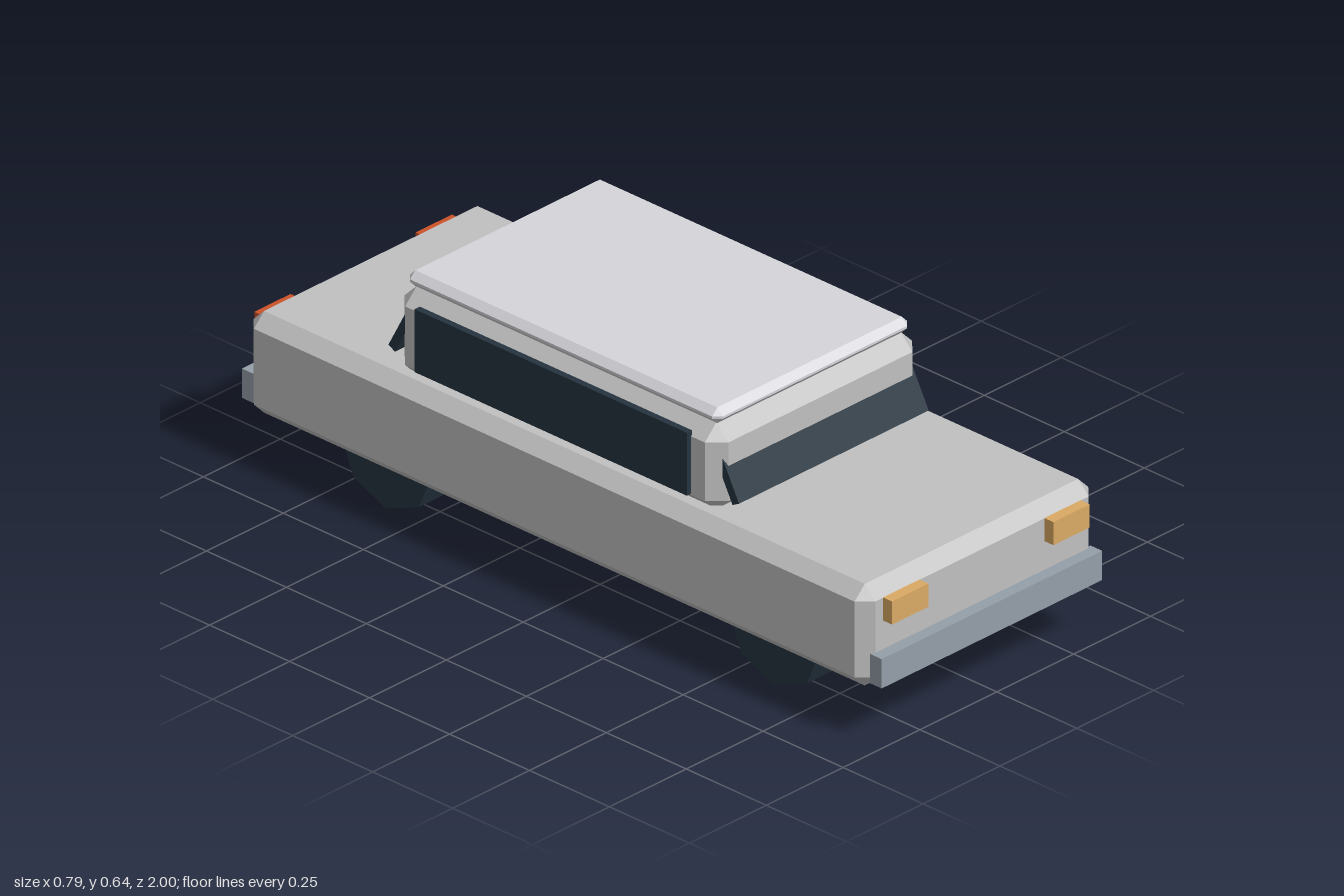
import * as THREE from 'three';
import { ConvexGeometry } from 'three/addons/geometries/ConvexGeometry.js';

const material = (name, color) => {
  const m = new THREE.MeshStandardMaterial({ color });
  m.name = name;
  return m;
};

// Box with every edge cut at 45 degrees
function chamferBox(w, h, d, c) {
  const pts = [];
  for (const sx of [-1, 1]) for (const sy of [-1, 1]) for (const sz of [-1, 1]) {
    const [x, y, z] = [w / 2, h / 2, d / 2];
    pts.push(new THREE.Vector3(sx * x, sy * (y - c), sz * (z - c)));
    pts.push(new THREE.Vector3(sx * (x - c), sy * y, sz * (z - c)));
    pts.push(new THREE.Vector3(sx * (x - c), sy * (y - c), sz * z));
  }
  return new ConvexGeometry(pts);
}

export function createModel() {
  const group = new THREE.Group();
  group.name = 'car';

  const silver = material('silver paint', 0xc0c0c0);
  const pale = material('pale roof paint', 0xd5d5da);
  const dark = material('dark glass and rubber', 0x25343f);
  const steel = material('bumper steel', 0x949fa8);
  const amber = material('amber lamp', 0xdaaa64);
  const red = material('red lamp', 0xcc5228);

  const add = (name, geometry, mat, x, y, z) => {
    const mesh = new THREE.Mesh(geometry, mat);
    mesh.name = name;
    mesh.position.set(x, y, z);
    group.add(mesh);
    return mesh;
  };

  const cx = -0.016;     // centre line of the bodywork
  const cabinZ = -0.042; // the cabin sits slightly to the rear

  // Bodywork
  add('body', chamferBox(0.76, 0.26, 1.944, 0.033), silver, cx, 0.263, -0.003);
  add('cabin', chamferBox(0.674, 0.226, 1.013, 0.038), silver, cx, 0.486, cabinZ);
  add('roof', chamferBox(0.634, 0.04, 0.978, 0.017), pale, cx, 0.618, cabinZ);

  // Side windows
  for (const s of [-1, 1]) {
    add(s > 0 ? 'leftWindow' : 'rightWindow', new THREE.BoxGeometry(0.017, 0.161, 0.851),
      dark, cx + s * 0.3425, 0.495, cabinZ);
  }

  // Sloping front and rear screens, upper part sunk into the cabin
  const tilt = 0.49, height = 0.16, thick = 0.023;
  for (const s of [-1, 1]) {
    const y = 0.423 + (height / 2) * Math.cos(tilt) - (thick / 2) * Math.sin(tilt);
    const z = 0.548 - (height / 2) * Math.sin(tilt) - (thick / 2) * Math.cos(tilt);
    const screen = add(s > 0 ? 'windscreen' : 'rearScreen',
      new THREE.BoxGeometry(0.617, height, thick), dark, cx, y, cabinZ + s * z);
    screen.rotation.x = -s * tilt;
  }

  // Bumpers and lamps at both ends
  for (const s of [-1, 1]) {
    const end = s > 0 ? 'front' : 'rear';
    add(end + 'Bumper', new THREE.BoxGeometry(0.717, 0.075, 0.036), steel, cx, 0.191, s * 0.982);
    for (const side of [-1, 1]) {
      add(end + (side > 0 ? 'LeftLamp' : 'RightLamp'), new THREE.BoxGeometry(0.118, 0.059, 0.03),
        s > 0 ? amber : red, cx + side * 0.2625, 0.331, s * 0.982);
    }
  }

  // Eight-sided wheels with a corner at the top; the axle line is offset to the left
  const wheel = new THREE.CylinderGeometry(0.145, 0.145, 0.101, 8).toNonIndexed();
  wheel.computeVertexNormals();
  wheel.rotateZ(Math.PI / 2);
  for (const [end, z] of [['front', 0.616], ['rear', -0.597]]) {
    add(end + 'LeftWheel', wheel, dark, 0.3435, 0.145, z);
    add(end + 'RightWheel', wheel, dark, -0.2735, 0.145, z);
  }

  return group;
}
